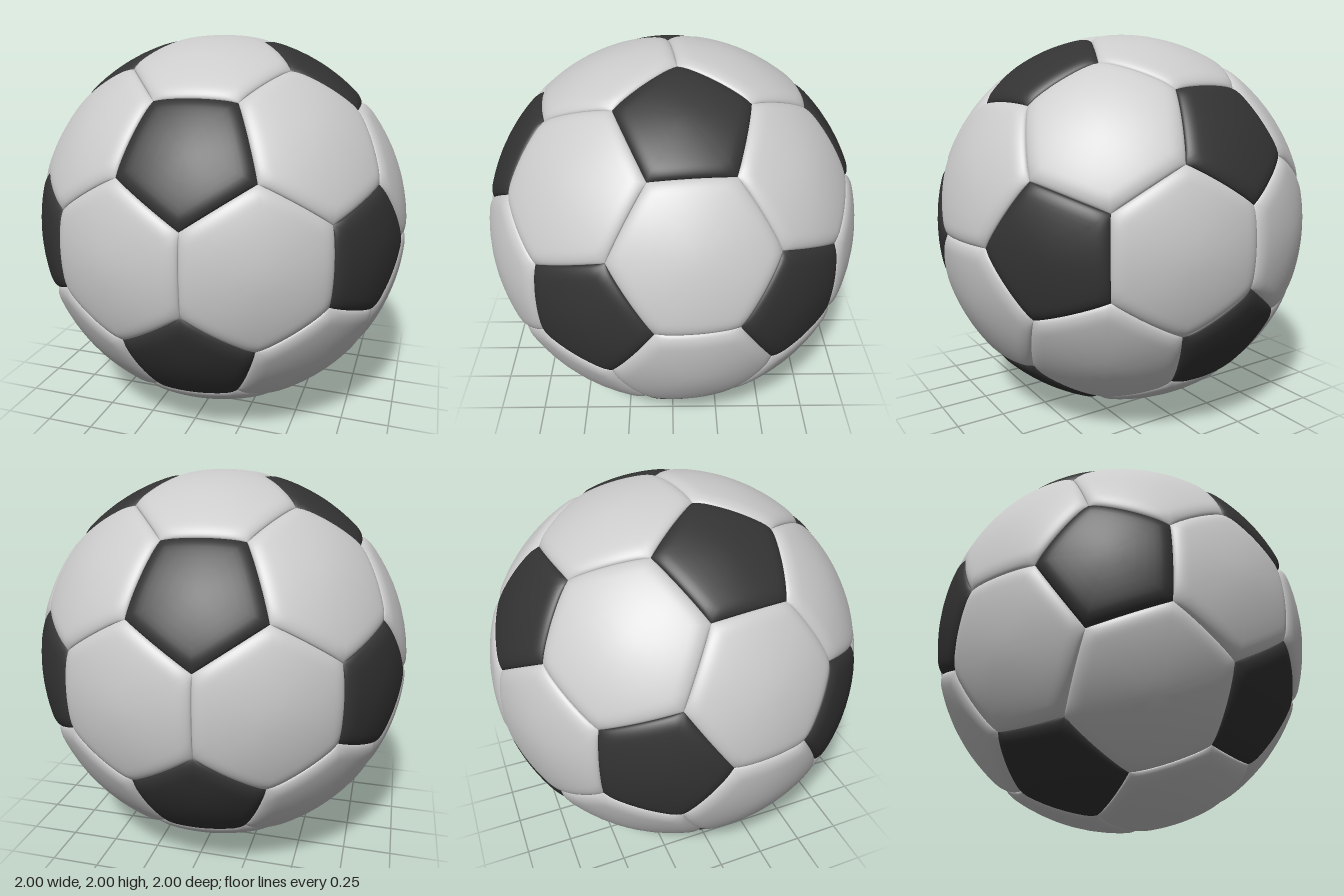
import * as THREE from 'three';

const SEAM_RADIUS = 0.977, PUFF = 0.025, ROUNDING = 0.07;
const PER_SIDE = 14;
// Ring positions from panel centre (0) to seam (1), denser in the rounded rim
const RINGS = [0.2, 0.4, 0.58, 0.7, 0.78, 0.83, 0.87, 0.9, 0.925, 0.945, 0.96, 0.973, 0.984, 0.992, 0.997, 1];

// Twelve icosahedron corners: the pentagon centres
function icosahedronCorners() {
  const phi = (1 + Math.sqrt(5)) / 2, out = [];
  for (const a of [-1, 1]) for (const b of [-phi, phi]) {
    out.push(new THREE.Vector3(0, a, b), new THREE.Vector3(a, b, 0), new THREE.Vector3(b, 0, a));
  }
  return out;
}

// Sort corners counter-clockwise as seen from outside
function sortAround(centre, corners) {
  const u = corners[0].clone().projectOnPlane(centre).normalize();
  const v = centre.clone().cross(u);
  const angle = p => Math.atan2(p.dot(v), p.dot(u));
  return corners.sort((p, q) => angle(p) - angle(q));
}

// One padded panel: concentric rings on the sphere, dipping into the seams
function panelGeometry(corners) {
  const centre = corners.reduce((s, p) => s.add(p), new THREE.Vector3()).normalize();
  const pts = sortAround(centre, corners).map(p => p.clone().normalize());
  const n = pts.length, around = n * PER_SIDE;
  const sides = pts.map((p, i) => p.clone().cross(pts[(i + 1) % n]).normalize());

  const place = dir => {
    let rise = 1;
    for (const s of sides) {
      const t = Math.min(1, Math.max(0, Math.asin(dir.dot(s)) / ROUNDING));
      rise *= Math.sqrt(Math.max(0, 1 - (1 - t) ** 2));
    }
    return dir.clone().multiplyScalar(SEAM_RADIUS + PUFF * rise);
  };

  const position = [...place(centre).toArray()], index = [];
  RINGS.forEach((t, r) => {
    for (let k = 0; k < around; k++) {
      const i = Math.floor(k / PER_SIDE), f = (k % PER_SIDE) / PER_SIDE;
      const rim = pts[i].clone().lerp(pts[(i + 1) % n], f).normalize();
      position.push(...place(centre.clone().lerp(rim, t).normalize()).toArray());
      const a = 1 + r * around + k, b = 1 + r * around + (k + 1) % around;
      if (r === 0) index.push(0, a, b);
      else index.push(a - around, a, b, a - around, b, b - around);
    }
  });
  const g = new THREE.BufferGeometry();
  g.setAttribute('position', new THREE.Float32BufferAttribute(position, 3));
  g.setIndex(index);
  g.computeVertexNormals();
  return g;
}

export function createModel() {
  const model = new THREE.Group();
  model.name = 'football';
  const white = new THREE.MeshStandardMaterial({ color: 0xcccccc });
  const black = new THREE.MeshStandardMaterial({ color: 0x333333 });

  const V = icosahedronCorners();
  const adjacent = (i, j) => i !== j && V[i].distanceTo(V[j]) < 2.1;
  const third = (i, j) => V[i].clone().lerp(V[j], 1 / 3);

  const pentagons = new THREE.Group(), hexagons = new THREE.Group();
  pentagons.name = 'blackPentagons';
  hexagons.name = 'whiteHexagons';
  const addPanel = (group, name, corners, material) => {
    const mesh = new THREE.Mesh(panelGeometry(corners), material);
    mesh.name = name + (group.children.length + 1);
    group.add(mesh);
  };

  for (let i = 0; i < 12; i++) {
    // Pentagon around each icosahedron corner
    const near = V.map((_, j) => j).filter(j => adjacent(i, j));
    addPanel(pentagons, 'pentagon', near.map(j => third(i, j)), black);
    // Hexagon on each icosahedron face
    for (const j of near) for (const k of near) {
      if (i < j && j < k && adjacent(j, k)) {
        const pairs = [[i, j], [j, i], [j, k], [k, j], [k, i], [i, k]];
        addPanel(hexagons, 'hexagon', pairs.map(([a, b]) => third(a, b)), white);
      }
    }
  }

  model.add(pentagons, hexagons);
  model.rotation.y = 0.112;
  model.position.y = 1;
  return model;
}
